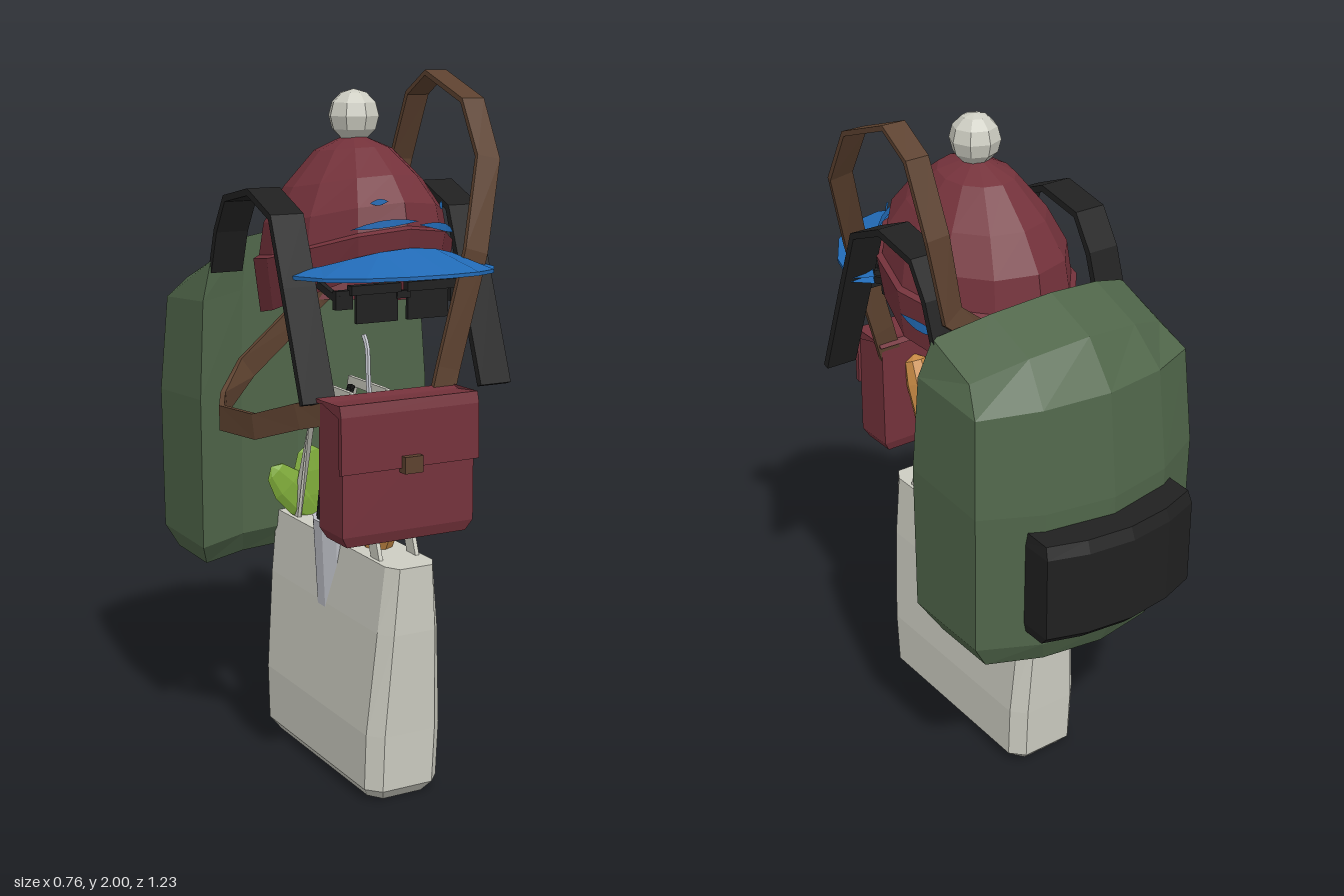
import * as THREE from 'three';

const mat = (name, color) =>
  Object.assign(new THREE.MeshStandardMaterial({ color, side: THREE.DoubleSide }), { name });

// Splits faces so each one is shaded flat
function flat(geo) {
  const g = geo.index ? geo.toNonIndexed() : geo;
  g.computeVertexNormals();
  return g;
}

// Skin over closed rings of points, listed bottom to top, counter-clockwise from above
function loft(rings, caps = true, closed = true) {
  const n = rings[0].length, idx = [], last = (rings.length - 1) * n;
  for (let r = 0; r < rings.length - 1; r++)
    for (let i = 0; i < (closed ? n : n - 1); i++) {
      const a = r * n + i, b = r * n + (i + 1) % n;
      idx.push(a, b, b + n, a, b + n, a + n);
    }
  if (caps)
    for (let i = 0; i < n / 2 - 1; i++) {
      const a = i, b = i + 1, c = n - 2 - i, d = n - 1 - i;
      idx.push(a, c, b, a, d, c, last + a, last + b, last + c, last + a, last + c, last + d);
    }
  const g = new THREE.BufferGeometry();
  g.setAttribute('position', new THREE.Float32BufferAttribute(rings.flat(2), 3));
  g.setIndex(idx);
  return flat(g);
}

// Flat band along points; each point is [x, y, z] with a width direction
function ribbon(points, dirs, width, thick) {
  const p = points.map(a => new THREE.Vector3(...a));
  return loft(p.map((c, i) => {
    const t = p[Math.min(i + 1, p.length - 1)].clone().sub(p[Math.max(i - 1, 0)]).normalize();
    const d = new THREE.Vector3(...dirs[i]);
    d.addScaledVector(t, -d.dot(t)).normalize();
    const n = t.clone().cross(d).multiplyScalar(thick / 2);
    d.multiplyScalar(width / 2);
    return [[1, 1], [-1, 1], [-1, -1], [1, -1]].map(([u, v]) =>
      c.clone().addScaledVector(d, u).addScaledVector(n, v).toArray());
  }));
}

// Body wrapped round the wearer's back; rows are [yFront, yBack, halfWidth, zFront, zBack]
function curvedBody(rows) {
  const cols = [-1, -0.55, 0, 0.55, 1];
  return loft(rows.map(([yf, yb, w, zf, zb, drop = 0]) => {
    const pt = (c, y, z) => [c * w, y - drop * c * c, z + 0.88 * (c * w) ** 2];
    return [...cols.map(c => pt(c, yf, zf)), ...cols.slice().reverse().map(c => pt(c, yb, zb))];
  }));
}

const tube = (pts, r, n = 10) => flat(new THREE.TubeGeometry(
  new THREE.CatmullRomCurve3(pts.map(p => new THREE.Vector3(...p))), n, r, 6));
const lathe = (pts, sides) => flat(new THREE.LatheGeometry(
  pts.map(p => new THREE.Vector2(...p)), sides));

export function createModel() {
  const red = mat('maroon', 0x74323b), green = mat('olive green', 0x50664a);
  const blue = mat('blue', 0x226cb8), black = mat('black', 0x202020);
  const brown = mat('brown leather', 0x5c412f), canvas = mat('canvas', 0xcdcdc2);
  const steel = mat('steel', 0xc2c4cb), crust = mat('bread crust', 0xc88a45);
  const leaf = mat('leaf green', 0x80ad3a);

  const root = new THREE.Group();
  const add = (name, geo, material, x = 0, y = 0, z = 0) => {
    const m = new THREE.Mesh(geo, material);
    m.name = name;
    m.position.set(x, y, z);
    root.add(m);
    return m;
  };
  const box = (name, material, w, h, d, x, y, z) =>
    add(name, flat(new THREE.BoxGeometry(w, h, d)), material, x, y, z);

  // Tote bag with chamfered corners, thinner towards the top
  add('toteBag', loft([
    [0, 0.09, -0.22, 0.4], [0.035, 0.116, -0.25, 0.43], [0.2, 0.117, -0.258, 0.44],
    [0.5, 0.095, -0.27, 0.46], [0.69, 0.075, -0.275, 0.465],
  ].map(([y, w, b, f]) => {
    const i = w * 0.68, c = 0.04;
    return [[-w, f - c], [-i, f], [i, f], [w, f - c], [w, b + c], [i, b], [-i, b], [-w, b + c]]
      .map(([x, z]) => [x, y, z]);
  })), canvas, 0.012);
  for (const x of [-0.045, 0.07])
    add('toteHandle', ribbon([[x, 0.66, 0.36], [x, 1.115, 0.185], [x, 1.115, 0], [x, 0.66, -0.15]],
      [[0, 0, 1], [0, 1, 1], [0, 1, -1], [0, 0, 1]], 0.045, 0.012), canvas);

  // Flask with dark lid and carrying loop
  add('flask', flat(new THREE.CylinderGeometry(0.115, 0.09, 0.47, 14)), steel, 0.015, 0.505, 0.095);
  add('flaskLid', flat(new THREE.CylinderGeometry(0.092, 0.104, 0.13, 14)), black, 0.015, 0.8, 0.095);
  add('flaskLoop', tube([[0.04, 0.85, 0], [0.04, 0.97, -0.005], [0.04, 1.05, 0.01],
    [0.04, 1.11, 0.045]], 0.012), black);

  // Drinking gourd with rim and metal straw
  add('gourd', lathe([[0, 0.86], [0.045, 0.86], [0.075, 0.92], [0.07, 1], [0.055, 1.055], [0, 1.055]], 10),
    brown, 0.055, 0, 0.165);
  add('gourdRim', flat(new THREE.CylinderGeometry(0.062, 0.062, 0.03, 10)), steel, 0.055, 1.065, 0.165);
  add('straw', tube([[0.045, 1.05, 0.145], [0.05, 1.17, 0.125], [0.055, 1.235, 0.11],
    [0.055, 1.265, 0.09]], 0.008), steel);

  // Bread loaf leaning forwards
  const loaf = add('breadLoaf', lathe([[0, -0.3], [0.035, -0.27], [0.046, -0.1], [0.046, 0.18],
    [0.035, 0.25], [0, 0.27]], 8), crust, 0.02, 0.86, 0.315);
  loaf.rotation.x = 0.42;

  // Salad leaves fanned out at the back of the tote
  for (const a of [-0.75, -0.1, 0.6]) {
    const l = add('saladLeaf', flat(new THREE.SphereGeometry(1, 7, 5)), leaf,
      0.015 + 0.09 * Math.sin(a), 0.69 + 0.1 * Math.cos(a), -0.14);
    l.scale.set(0.06, 0.12, 0.018);
    l.rotation.z = -a;
  }

  // Backpack, pocket and shoulder straps
  add('backpackBody', curvedBody([
    [0.57, 0.57, 0.33, -0.28, -0.485], [0.64, 0.64, 0.37, -0.235, -0.52],
    [1.08, 1.06, 0.372, -0.235, -0.527], [1.38, 1.36, 0.355, -0.235, -0.495, 0.02],
    [1.55, 1.485, 0.32, -0.235, -0.4, 0.08],
  ]), green, 0.01);
  add('backpackPocket', curvedBody([
    [0.69, 0.69, 0.245, -0.49, -0.585], [0.72, 0.72, 0.25, -0.49, -0.615],
    [0.97, 0.97, 0.25, -0.49, -0.615], [1.01, 1.005, 0.245, -0.49, -0.6],
  ]), black, 0.012);
  for (const x of [-0.262, 0.284]) {
    const path = [[1.44, -0.15], [1.56, -0.11], [1.655, -0.05], [1.685, 0.1], [1.63, 0.235],
      [1.45, 0.305], [1.16, 0.415]];
    add('shoulderStrap', ribbon(path.map(([y, z]) => [x, y, z]), path.map(() => [1, 0, 0]), 0.097, 0.02), black);
  }

  // Satchel with flap and buckle
  add('satchelBody', loft([
    [0.8, 0.18, 0.43, 0.54], [0.83, 0.198, 0.42, 0.55], [1.17, 0.198, 0.42, 0.545],
  ].map(([y, w, b, f]) => [[-w, y, f], [w, y, f], [w, y, b], [-w, y, b]])), red, -0.063);
  add('satchelFlap', loft([
    [1.0, 0.545, 0.56], [1.15, 0.542, 0.557], [1.18, 0.42, 0.548], [1.165, 0.41, 0.42],
  ].map(([y, b, f]) => [[-0.207, y, f], [0.207, y, f], [0.207, y - 0.003, b], [-0.207, y - 0.003, b]])),
  red, -0.063);
  box('satchelBuckle', brown, 0.055, 0.045, 0.03, -0.065, 1.01, 0.563);

  // Long strap rising over one shoulder and passing behind to the other side
  const X = [1, 0, 0], Y = [0, 1, 0], D = [0.6, 0.8, 0];
  add('satchelStrap', ribbon([
    [0.1, 1.12, 0.43], [0.13, 1.22, 0.42], [0.215, 1.53, 0.415], [0.3, 1.77, 0.335],
    [0.305, 1.92, 0.245], [0.305, 1.99, 0.05], [0.305, 1.93, -0.05], [0.3, 1.74, -0.13],
    [0.27, 1.52, -0.15], [0.05, 1.34, -0.19], [-0.19, 1.15, -0.17], [-0.3, 1.07, -0.09],
    [-0.375, 1.065, 0.06], [-0.35, 1.07, 0.22], [-0.29, 1.12, 0.36], [-0.25, 1.14, 0.43],
  ], [X, X, X, X, X, X, X, X, [1, 0.3, 0], [0.6, -0.8, 0], [0.4, -0.9, 0],
    [0, -1, 0], [0, -1, 0], [0, -1, 0], [0, -1, 0], [0, -1, 0]], 0.07, 0.015), brown);

  // Knitted hat: open dome, low at the back, with a turned-up cuff
  const hatPoint = (a, t, r) => {
    const c = Math.cos(a), rim = 1.36 + 0.085 * c + 0.055 * c * c;
    return [0.012 + 0.255 * r * Math.sin(a), 1.835 - t * (1.835 - rim), 0.1 + 0.305 * r * c];
  };
  add('knittedHat', loft([[1, 0.97], [0.7, 1.04], [0.68, 0.98], [0.5, 0.93], [0.3, 0.72], [0.1, 0.4], [0, 0.02]]
    .map(([t, r]) => Array.from({ length: 12 }, (_, i) => hatPoint(i * Math.PI / 6, t, r))), false), red);
  add('hatPompom', flat(new THREE.SphereGeometry(0.072, 8, 6)), canvas, 0.012, 1.88, 0.105);

  // Slivers of the blue cap showing through the hat
  for (const [from, to, t, h] of [[-0.6, 0.1, 0.64, 0.03], [0.1, 0.85, 0.67, 0.03], [-0.4, -0.2, 0.48, 0.025],
    [0.6, 0.75, 0.5, 0.03], [1.6, 2.1, 0.83, 0.03]])
    add('capSliver', loft([1, -1].map(s => Array.from({ length: 6 }, (_, i) =>
      hatPoint(from + (to - from) * i / 5, t + s * h * Math.sin(Math.PI * i / 5),
        t < 0.6 ? 0.94 : 1.035))), false, false), blue);

  // Cap peak, arched across and sloping down to the front
  const peakRow = (rx, rz, z, y, sag) => Array.from({ length: 9 }, (_, i) => {
    const a = (i / 4 - 1) * 1.36, s = Math.sin(a);
    return [0.015 + rx * s, y - sag * s * s, z + rz * Math.cos(a)];
  });
  add('capPeak', loft([peakRow(0.25, 0.21, 0.2, 1.525, 0.06), peakRow(0.305, 0.41, 0.2, 1.495, 0.025),
    peakRow(0.305, 0.41, 0.2, 1.505, 0.025), peakRow(0.25, 0.21, 0.2, 1.55, 0.065),
    peakRow(0.25, 0.21, 0.2, 1.525, 0.06)], false, false), blue);

  // Sunglasses
  for (const s of [-1, 1]) {
    box('lens', black, 0.125, 0.1, 0.012, 0.01 + s * 0.078, 1.405, 0.378);
    box('browBar', black, 0.15, 0.025, 0.025, 0.01 + s * 0.085, 1.445, 0.38);
    box('hinge', black, 0.05, 0.05, 0.02, 0.01 + s * 0.175, 1.42, 0.37);
    box('templeArm', black, 0.014, 0.02, 0.14, 0.01 + s * 0.192, 1.44, 0.31).rotation.x = 0.25;
  }
  box('bridge', black, 0.04, 0.02, 0.015, 0.01, 1.425, 0.38);

  return root;
}
